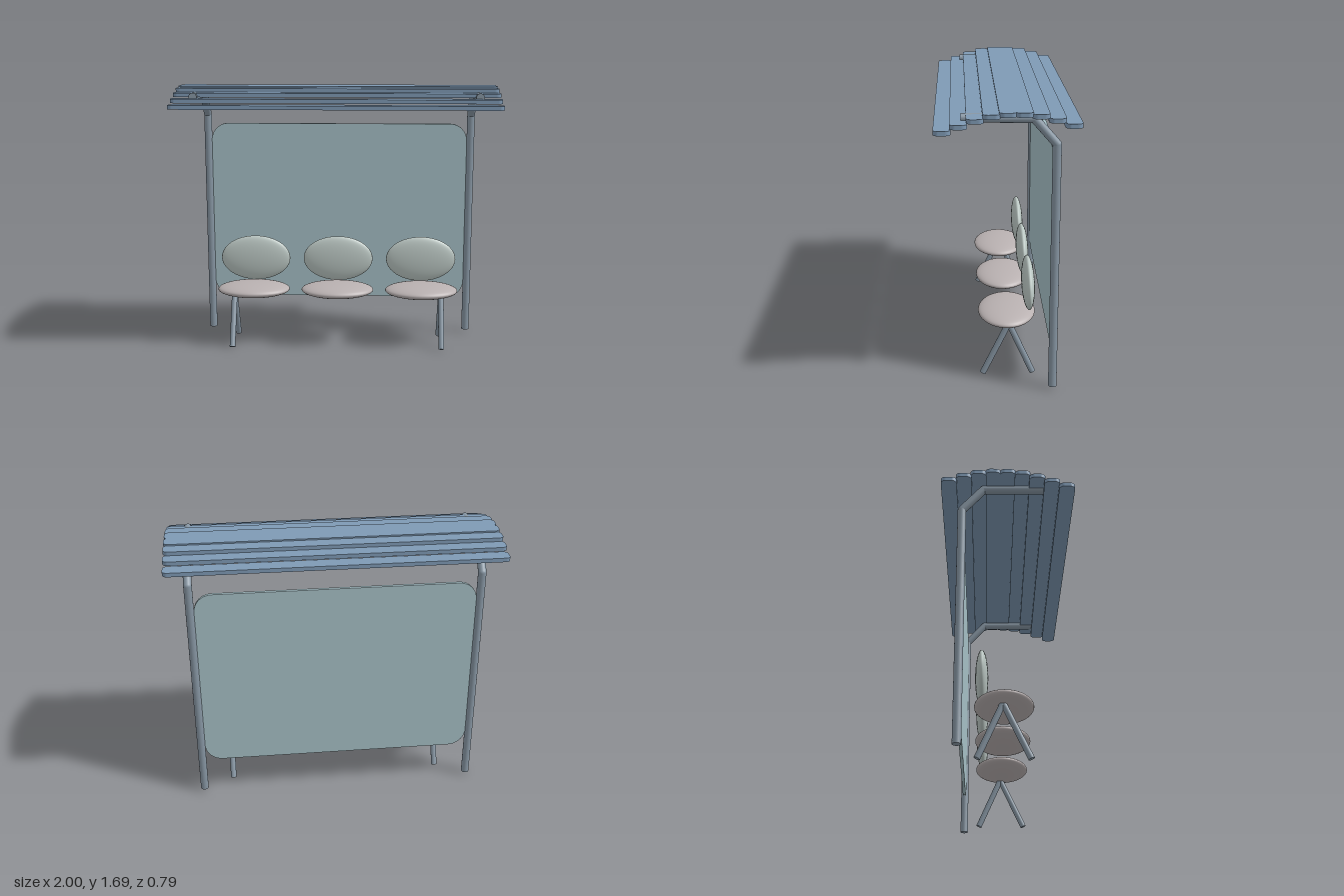
import * as THREE from 'three';

const mat = (color) => new THREE.MeshStandardMaterial({ color });
const steel = mat(0x8796a3), slatBlue = mat(0x7f9ab5), glass = mat(0xa6c0c6);
const backGrey = mat(0xbcc8c4), seatGrey = mat(0xb9b1b1);

function add(parent, name, geometry, material) {
  const mesh = new THREE.Mesh(geometry, material);
  mesh.name = name;
  parent.add(mesh);
  return mesh;
}

// Round bar between two points
function bar(parent, name, a, b, radius) {
  const dir = b.clone().sub(a);
  const mesh = add(parent, name, new THREE.CylinderGeometry(radius, radius, dir.length(), 24), steel);
  mesh.position.copy(a).add(b).multiplyScalar(0.5);
  mesh.quaternion.setFromUnitVectors(new THREE.Vector3(0, 1, 0), dir.normalize());
}

// Flat plate with rounded corners, centred on its own origin
function plate(w, h, r, depth) {
  const x = w / 2, y = h / 2, s = new THREE.Shape();
  s.absarc(x - r, y - r, r, 0, Math.PI / 2);
  s.absarc(r - x, y - r, r, Math.PI / 2, Math.PI);
  s.absarc(r - x, r - y, r, Math.PI, Math.PI * 1.5);
  s.absarc(x - r, r - y, r, Math.PI * 1.5, Math.PI * 2);
  s.closePath();
  return new THREE.ExtrudeGeometry(s, { depth, bevelEnabled: false, curveSegments: 10 })
    .translate(0, 0, -depth / 2);
}

function ellipsoid(parent, name, material, position, radii) {
  const mesh = add(parent, name, new THREE.SphereGeometry(1, 40, 24).scale(...radii), material);
  mesh.position.set(...position);
}

export function createModel() {
  const model = new THREE.Group();
  model.name = 'benchShelter';

  for (const side of [-1, 1]) {
    // Bent post: upright, slanted knee and roof arm
    const post = new THREE.Group();
    post.name = side > 0 ? 'leftPost' : 'rightPost';
    model.add(post);
    const path = [[0.02, -0.27], [1.49, -0.27], [1.634, -0.145], [1.64, 0.246]]
      .map(([y, z]) => new THREE.Vector3(side * 0.87, y, z));
    ['upright', 'knee', 'roofArm'].forEach((name, i) => bar(post, name, path[i], path[i + 1], 0.025));
    for (const p of path.slice(1, 3)) {
      add(post, 'joint', new THREE.SphereGeometry(0.025, 24, 16), steel).position.copy(p);
    }

    // Pair of splayed seat legs
    const legs = new THREE.Group();
    legs.name = side > 0 ? 'leftLegs' : 'rightLegs';
    model.add(legs);
    const top = new THREE.Vector3(side * 0.68, 0.335, -0.023);
    bar(legs, 'frontLeg', top, new THREE.Vector3(side * 0.68, 0.009, 0.133), 0.0185);
    bar(legs, 'backLeg', top, new THREE.Vector3(side * 0.68, 0.009, -0.166), 0.0185);
  }

  // Back panel
  add(model, 'backPanel', plate(1.69, 1.18, 0.11, 0.02), glass).position.set(0, 0.84, -0.27);

  // Three seats with backrests
  for (const x of [-0.55, 0, 0.55]) {
    ellipsoid(model, 'seat', seatGrey, [x, 0.364, -0.015], [0.236, 0.045, 0.172]);
    ellipsoid(model, 'backrest', backGrey, [x, 0.542, -0.145], [0.23, 0.15, 0.038]);
  }

  // Arched roof of overlapping slats, from back to front
  const heights = [1.62, 1.649, 1.672, 1.681, 1.681, 1.672, 1.649, 1.619, 1.588];
  heights.forEach((y, i) => {
    const slat = add(model, 'roofSlat', plate(2, 0.093, 0.03, 0.025), slatBlue);
    slat.rotation.x = -Math.PI / 2;
    slat.position.set(0, y, (i - 4) * 0.0868);
  });
  return model;
}
